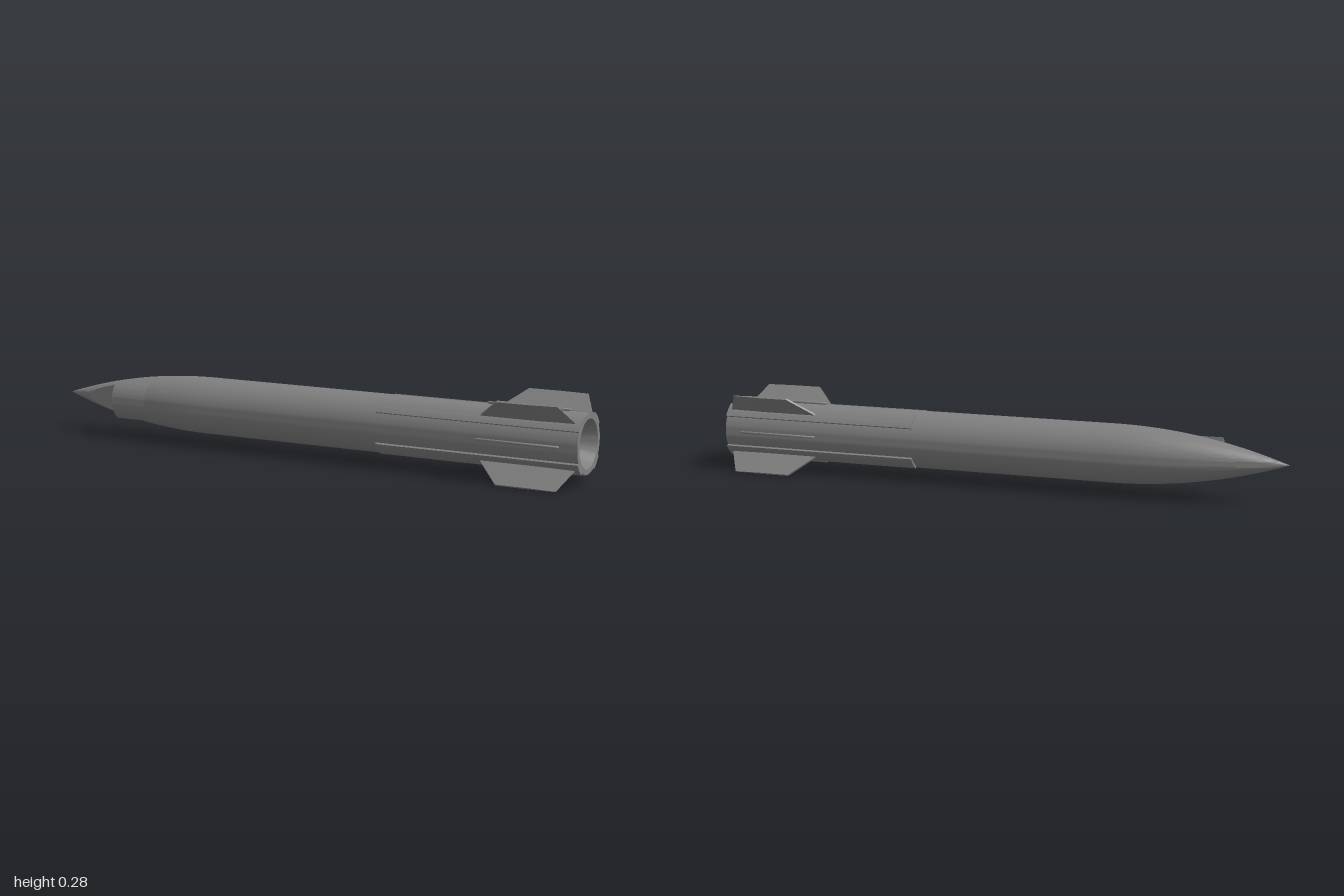
import * as THREE from 'three';
import { toCreasedNormals } from 'three/addons/utils/BufferGeometryUtils.js';
import { ConvexGeometry } from 'three/addons/geometries/ConvexGeometry.js';

const R = 0.099;          // body radius
const AXIS_Y = 0.1375;    // height of the long axis
const NOSE = 0.6;         // length of the ogive
const STEP_X = -0.765;    // front face of the housing beside the nose
const CUT_Z = 0.035;      // depth of the flat nose cut at the housing
const SEGMENTS = 64;

const material = new THREE.MeshStandardMaterial({ color: 0x808080 });

function makeMesh(name, geometry, crease = 0.5) {
  const mesh = new THREE.Mesh(toCreasedNormals(geometry, crease), material);
  mesh.name = name;
  return mesh;
}

// Extrude a cross-section along the long axis from x0 to x1 (shape -x becomes +z).
function alongAxis(shape, x0, x1) {
  const geo = new THREE.ExtrudeGeometry(shape, { depth: x1 - x0, bevelEnabled: false, curveSegments: 16 });
  return geo.rotateY(Math.PI / 2).translate(x0, 0, 0);
}

// Radius of the tangent ogive at position x.
function ogiveRadius(x) {
  const rho = (R * R + NOSE * NOSE) / (2 * R);
  return Math.sqrt(rho * rho - (x + 1 - NOSE) ** 2) - rho + R;
}

// Ogive nose, straight body and hollow nozzle turned as one profile.
function bodyGeometry() {
  const profile = [new THREE.Vector2(0, -1)];
  const addNose = (from, to, steps) => {
    for (let i = 1; i <= steps; i++) {
      const x = from + ((to - from) * i) / steps;
      profile.push(new THREE.Vector2(ogiveRadius(x), x));
    }
  };
  addNose(-1, STEP_X, 20);
  addNose(STEP_X, STEP_X + 0.001, 1);
  addNose(STEP_X + 0.001, NOSE - 1, 20);
  for (const [r, x] of [[R, 1], [0.081, 1], [0.018, 0.8], [0, 0.8]]) profile.push(new THREE.Vector2(r, x));
  const geo = new THREE.LatheGeometry(profile, SEGMENTS).rotateZ(-Math.PI / 2);

  // Flat cut on the nose: slide one lengthwise row onto the cut's edge, flatten what lies within.
  const pos = geo.attributes.position;
  const edge = (10 / SEGMENTS) * Math.PI * 2;
  for (let k = 0; k < pos.count; k++) {
    const x = pos.getX(k), y = pos.getY(k), z = pos.getZ(k);
    if (x > STEP_X + 0.0005) continue;
    const r = Math.hypot(y, z), angle = Math.abs(Math.atan2(y, z));
    const cut = CUT_Z + (x - STEP_X) * 0.04;
    const cutAngle = r > cut ? Math.acos(cut / r) : 0;
    const moved = angle < edge
      ? (angle * cutAngle) / edge
      : cutAngle + ((angle - edge) * (Math.PI - cutAngle)) / (Math.PI - edge);
    pos.setY(k, Math.sign(y) * r * Math.sin(moved));
    pos.setZ(k, Math.min(r * Math.cos(moved), cut));
  }
  return geo;
}

// Housing with flat top and bottom and a rounded outer side.
function housingGeometry() {
  const r = 0.085, h = 0.068, a = Math.asin(h / r);
  const shape = new THREE.Shape();
  shape.moveTo(-CUT_Z, h);
  shape.absarc(0, 0, r, Math.PI - a, Math.PI + a, false);
  shape.lineTo(-CUT_Z, -h);
  shape.closePath();
  return alongAxis(shape, STEP_X, -0.4);
}

// Raised strip of the skin that carries a fin.
function panelGeometry() {
  const half = Math.PI / 12, mid = Math.PI / 2;
  const shape = new THREE.Shape();
  shape.absarc(0, 0, 0.107, mid - half, mid + half, false);
  shape.absarc(0, 0, 0.09, mid + half, mid - half, true);
  shape.closePath();
  return alongAxis(shape, 0.29, 1);
}

// Fin of even thickness that thins out toward its trailing edge.
function finGeometry() {
  const outline = [
    [0.66, 0.09, 0.0035], [0.66, 0.107, 0.0035], [0.74, 0.191, 0.0035],
    [0.85, 0.09, 0.0035], [0.85, 0.191, 0.0035],
    [0.945, 0.191, 0.001], [0.985, 0.107, 0.001], [0.985, 0.09, 0.001],
  ];
  return new ConvexGeometry(outline.flatMap(([x, r, t]) => [
    new THREE.Vector3(x, r, t), new THREE.Vector3(x, r, -t),
  ]));
}

export function createModel() {
  const group = new THREE.Group();
  const rocket = new THREE.Group();
  rocket.name = 'rocket';
  rocket.position.y = AXIS_Y;
  group.add(rocket);

  rocket.add(makeMesh('body', bodyGeometry()));
  rocket.add(makeMesh('noseHousing', housingGeometry()));

  const fin = finGeometry();
  const panel = panelGeometry();
  const rail = new THREE.CapsuleGeometry(0.0045, 0.281, 6, 12).rotateZ(Math.PI / 2).translate(0.795, 0.1035, 0);

  for (let i = 0; i < 4; i++) {
    // Rails sit on the quarters, fins and their panels on the diagonals.
    const quarter = (i * Math.PI) / 2;
    const parts = [
      [makeMesh('rail', rail, 0.8), quarter],
      [makeMesh('finPanel', panel), quarter + Math.PI / 4],
      [makeMesh('fin', fin, 0.01), quarter + Math.PI / 4],
    ];
    for (const [mesh, angle] of parts) {
      mesh.rotation.x = angle;
      rocket.add(mesh);
    }
  }
  return group;
}
